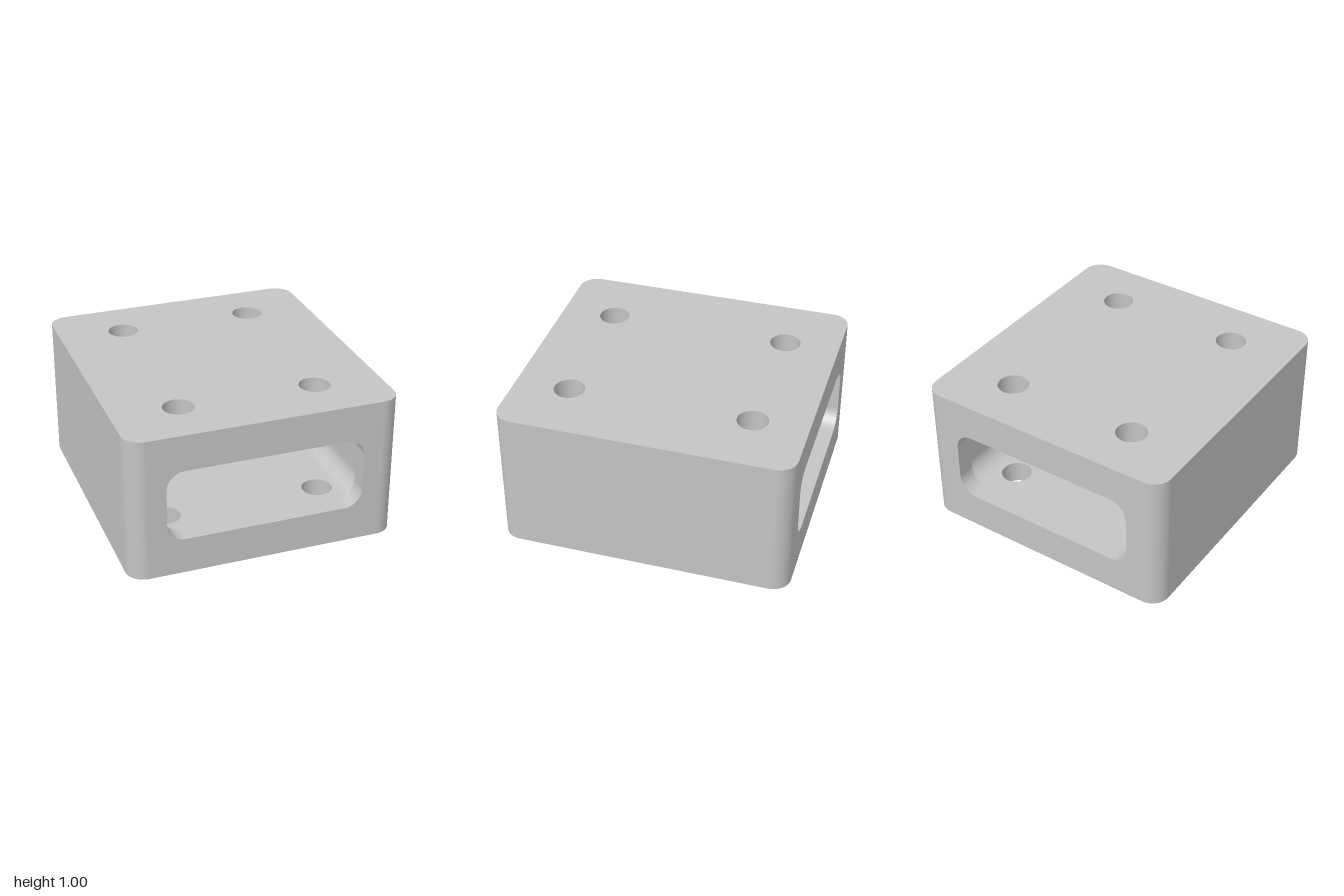
import * as THREE from 'three';

// Rounded rectangle outline, counter-clockwise, with exact outward normals
function ring(w, h, r, n = 12, cx = 0, cy = 0) {
  const pts = [];
  [[1, 1], [-1, 1], [-1, -1], [1, -1]].forEach(([sx, sy], q) => {
    for (let j = 0; j <= n; j++) {
      const a = (q + j / (n || 1 / 0)) * Math.PI / 2;
      const nx = Math.cos(a), ny = Math.sin(a);
      pts.push({ x: cx + sx * (w / 2 - r) + r * nx, y: cy + sy * (h / 2 - r) + r * ny, nx, ny });
    }
  });
  return pts;
}

// Smooth wall swept along z; sidesOnly leaves out the two flat y edges
function wall(pts, depth, inward, sidesOnly) {
  const pos = [], nor = [], idx = [], s = inward ? -1 : 1, n = pts.length;
  for (const p of pts) for (const z of [-depth / 2, depth / 2]) {
    pos.push(p.x, p.y, z);
    nor.push(s * p.nx, s * p.ny, 0);
  }
  for (let i = 0; i < n; i++) {
    const k = (i + 1) % n;
    if (sidesOnly && pts[i].ny * pts[k].ny > 0.9999) continue;
    const [a, b, c, d] = [2 * i, 2 * k, 2 * k + 1, 2 * i + 1];
    idx.push(...(inward ? [a, c, b, a, d, c] : [a, b, c, a, c, d]));
  }
  const g = new THREE.BufferGeometry();
  g.setAttribute('position', new THREE.Float32BufferAttribute(pos, 3));
  g.setAttribute('normal', new THREE.Float32BufferAttribute(nor, 3));
  g.setIndex(idx);
  return g;
}

// Flat face towards +z with cut-outs
function face(outline, holes) {
  const v = (pts) => pts.map((p) => new THREE.Vector2(p.x, p.y));
  const shape = new THREE.Shape(v(outline));
  for (const h of holes) shape.holes.push(new THREE.Path(v(h)));
  return new THREE.ShapeGeometry(shape);
}

export function createModel() {
  const W = 1.85, H = 1, D = 2, R = 0.125;      // outer block
  const openW = 1.35, openH = 0.5;              // end openings
  const cavW = 1.6, cavH = 0.68, cavD = 1.75;   // inner cavity
  const holeR = 0.105, skin = (H - cavH) / 2;
  const up = -Math.PI / 2;

  const grey = new THREE.MeshStandardMaterial({ color: 0xc4c4c4 });
  grey.name = 'light grey';
  const model = new THREE.Group();
  model.name = 'hollowBlock';
  const add = (name, geo, x, y, z, rx = 0, ry = 0) => {
    const m = new THREE.Mesh(geo, grey);
    m.name = name;
    m.position.set(x, y, z);
    m.rotation.set(rx, ry, 0);
    model.add(m);
  };

  const plan = ring(W, D, R);
  const opening = ring(openW, openH, 0.125);
  const cavity = ring(cavW, cavH, R);

  // Outer sides with rounded vertical corners
  add('outerSides', wall(plan, H, false, true), 0, H / 2, 0, up);

  // Front and back faces, opening rims and inner end walls
  for (const s of [1, -1]) {
    const end = s > 0 ? 'front' : 'back', turn = s > 0 ? 0 : Math.PI;
    add(end + 'Face', face(ring(W - 2 * R, H, 0, 0), [opening]), 0, H / 2, s * D / 2, 0, turn);
    add(end + 'OpeningRim', wall(opening, (D - cavD) / 2, true), 0, H / 2, s * (D + cavD) / 4);
    add(end + 'InnerWall', face(cavity, [opening]), 0, H / 2, s * cavD / 2, 0, Math.PI - turn);
  }

  // Cavity side walls with filleted edges
  add('cavitySides', wall(cavity, cavD, true, true), 0, H / 2, 0);

  // Top and bottom skins, each with its own pattern of four holes
  const skins = [
    { name: 'top', hx: 0.47, hz: 0.625, outer: H, inner: H - skin, rx: up },
    { name: 'bottom', hx: 0.55, hz: 0.55, outer: 0, inner: skin, rx: -up },
  ];
  for (const { name, hx, hz, outer, inner, rx } of skins) {
    const spots = [[hx, hz], [-hx, hz], [-hx, -hz], [hx, -hz]];
    const holes = spots.map(([x, z]) => ring(2 * holeR, 2 * holeR, holeR, 12, x, z));
    add(name + 'Face', face(plan, holes), 0, outer, 0, rx);
    add(name + 'CavityFace', face(ring(cavW - 2 * R, cavD, 0, 0), holes), 0, inner, 0, -rx);
    for (const [x, z] of spots) {
      add(name + 'HoleWall', wall(ring(2 * holeR, 2 * holeR, holeR), skin, true), x, (outer + inner) / 2, z, up);
    }
  }
  return model;
}
